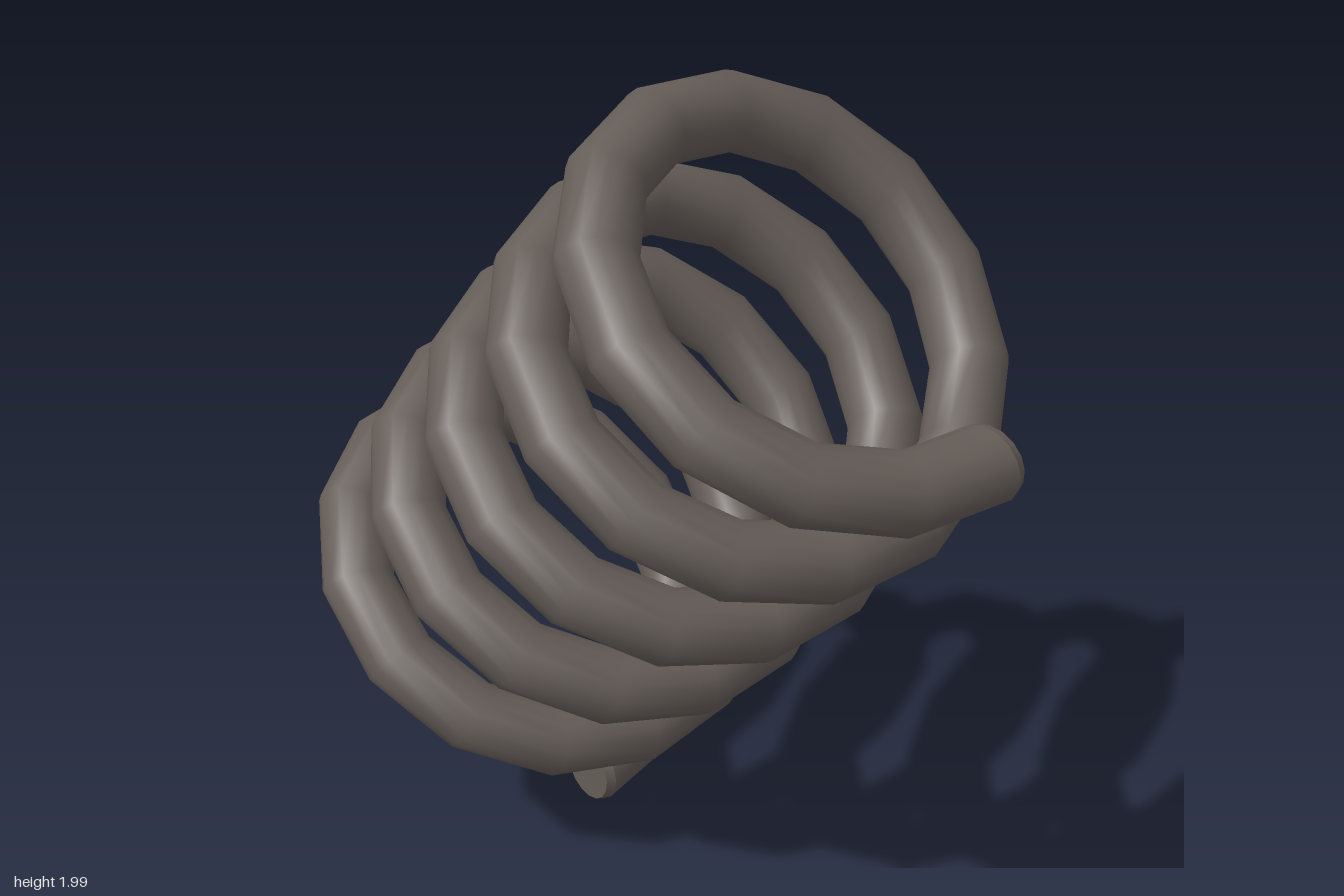
import * as THREE from 'three';

const SIDES = 16;      // sides of the wire
const STEPS = 71;      // segments along the coil
const STEP = THREE.MathUtils.degToRad(25.5);
const BEVEL = THREE.MathUtils.degToRad(2.3);
const COIL_R = 0.472, WIRE_R = 0.085, CAP_R = 0.077, PITCH = 0.357;

const axis = new THREE.Vector3(0.669, 0.743, 0).normalize();
const out0 = new THREE.Vector3(0.743, -0.669, 0).normalize();
const back = new THREE.Vector3(0, 0, -1);
const start = new THREE.Vector3(-0.307, 0.086, 0);
const origin = start.clone().addScaledVector(out0, -COIL_R);

// Point on the wire: phi runs along the coil, a runs around the wire
function wirePoint(phi, a, r) {
  const out = out0.clone().multiplyScalar(Math.cos(phi)).addScaledVector(back, Math.sin(phi));
  return origin.clone()
    .addScaledVector(axis, PITCH * phi / (2 * Math.PI) + r * Math.sin(a))
    .addScaledVector(out, COIL_R + r * Math.cos(a));
}

function ringPoints(phi, r) {
  return Array.from({ length: SIDES }, (_, j) => wirePoint(phi, j / SIDES * 2 * Math.PI, r));
}

function makeGeometry(points, index) {
  const g = new THREE.BufferGeometry().setFromPoints(points);
  g.setIndex(index);
  g.computeVertexNormals();
  return g;
}

// Skin between a list of [phi, radius] rings
function skin(rings) {
  const points = rings.flatMap(([phi, r]) => ringPoints(phi, r));
  const index = [];
  for (let i = 0; i < rings.length - 1; i++) {
    for (let j = 0; j < SIDES; j++) {
      const k = (j + 1) % SIDES;
      const a = i * SIDES + j, b = i * SIDES + k;
      index.push(a, a + SIDES, b, b, a + SIDES, b + SIDES);
    }
  }
  return makeGeometry(points, index);
}

// Flat end disc
function disc(phi, flip) {
  const points = [...ringPoints(phi, CAP_R), wirePoint(phi, 0, 0)];
  const index = [];
  for (let j = 0; j < SIDES; j++) {
    const k = (j + 1) % SIDES;
    if (flip) index.push(SIDES, k, j);
    else index.push(SIDES, j, k);
  }
  return makeGeometry(points, index);
}

export function createModel() {
  const group = new THREE.Group();
  group.name = 'coilSpring';
  const steel = new THREE.MeshStandardMaterial({ color: 0x645c57 });
  steel.name = 'darkSteel';
  const add = (name, geometry) => {
    const mesh = new THREE.Mesh(geometry, steel);
    mesh.name = name;
    group.add(mesh);
  };

  const end = STEPS * STEP;
  const rings = [[BEVEL, WIRE_R]];
  for (let i = 1; i < STEPS; i++) rings.push([i * STEP, WIRE_R]);
  rings.push([end - BEVEL, WIRE_R]);

  add('coilWire', skin(rings));
  // Small chamfers and flat discs close both ends
  add('lowerChamfer', skin([[0, CAP_R], [BEVEL, WIRE_R]]));
  add('upperChamfer', skin([[end - BEVEL, WIRE_R], [end, CAP_R]]));
  add('lowerEnd', disc(0, false));
  add('upperEnd', disc(end, true));
  return group;
}
